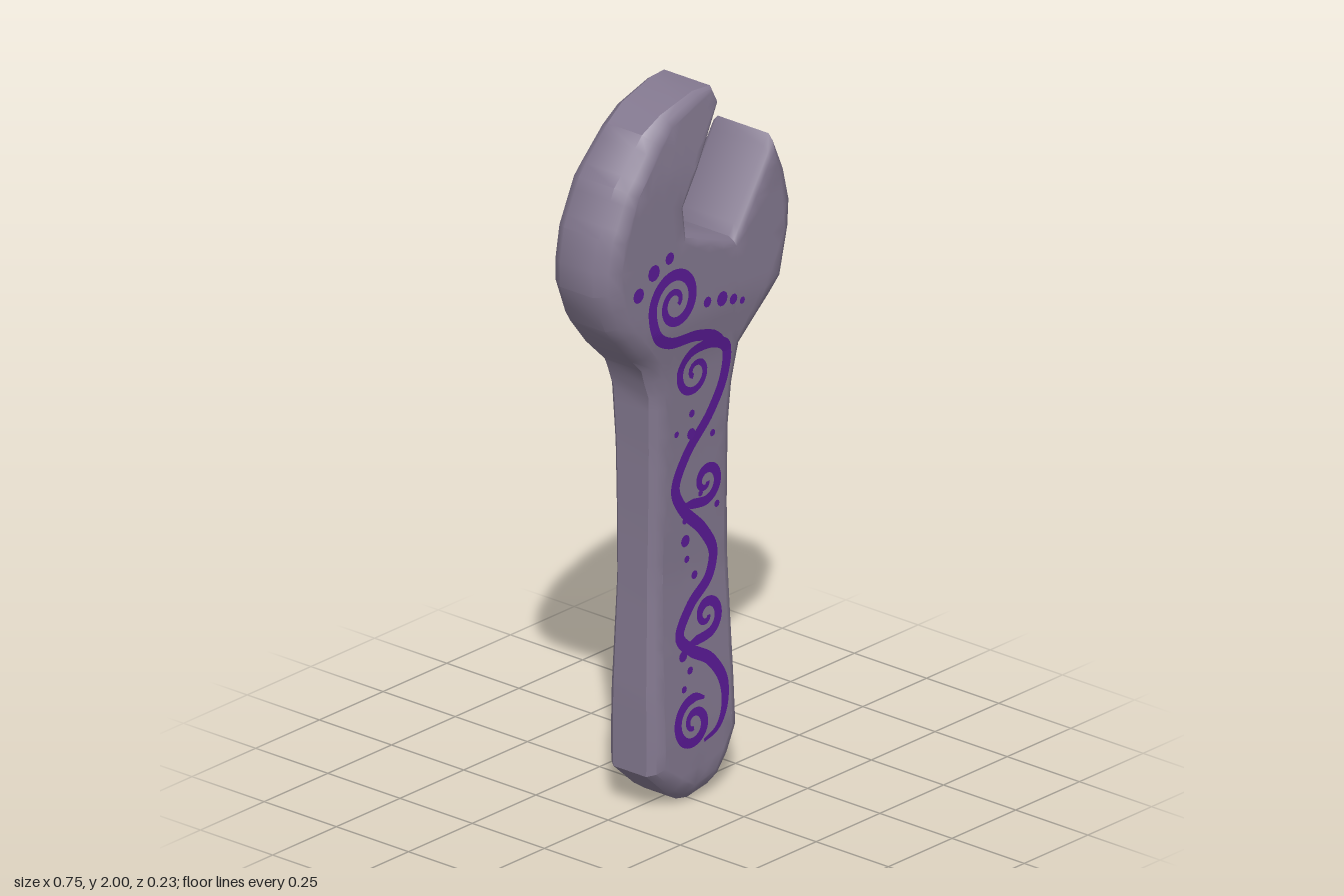
import * as THREE from 'three';
import { toCreasedNormals } from 'three/addons/utils/BufferGeometryUtils.js';

const LIMIT = 0.06;

// Outline, counter-clockwise: x, y, bevel width
const OUTLINE = [
  [0, 0, .04], [.06, .012, .04], [.1, .035, .04], [.14, .085, .04], [.175, .16, .04], [.17, .3, .037],
  [.16, .55, .035], [.153, .8, .035], [.152, 1.02, .035], [.16, 1.13, .035], [.185, 1.23, .04],
  [.25, 1.295, .045], [.335, 1.375, .05], [.368, 1.51, .05], [.373, 1.59, .05], [.345, 1.69, .045],
  [.28, 1.795, .022], [.123, 1.555, .022], [-.055, 1.62, .022], [-.065, 1.7, .022], [.083, 1.95, .015],
  [.06, 1.998, .015], [0, 2, .025], [-.12, 1.968, .035], [-.185, 1.93, .045], [-.295, 1.815, .05],
  [-.355, 1.69, .05], [-.375, 1.6, .055], [-.375, 1.53, .055], [-.33, 1.42, .05], [-.265, 1.34, .045],
  [-.19, 1.265, .04], [-.16, 1.18, .035], [-.153, 1.02, .035], [-.152, .8, .035], [-.155, .6, .035],
  [-.165, .33, .037], [-.165, .11, .04], [-.085, .037, .04], [-.045, .01, .04],
];

// Half thickness along the tool: y, z
const THICKNESS = [[0, .065], [.06, .088], [.2, .09], [.65, .073], [1, .08], [1.24, .09], [1.38, .11], [1.8, .11], [2, .09]];
function halfThickness(y) {
  for (let i = 1; i < THICKNESS.length; i++) {
    const [y0, z0] = THICKNESS[i - 1], [y1, z1] = THICKNESS[i];
    if (y <= y1) return z0 + (z1 - z0) * Math.max(0, (y - y0) / (y1 - y0));
  }
  return THICKNESS.at(-1)[1];
}

function geometryFrom(pos) {
  const g = new THREE.BufferGeometry();
  g.setAttribute('position', new THREE.Float32BufferAttribute(pos, 3));
  return g;
}

function bodyGeometry() {
  const n = OUTLINE.length, pos = [];
  const push = (...pts) => pts.forEach((p) => pos.push(...p));

  // Corners with inward mitre directions
  const corners = OUTLINE.map(([x, y, b], i) => {
    const p = OUTLINE[(i + n - 1) % n], q = OUTLINE[(i + 1) % n];
    const n1 = new THREE.Vector2(p[1] - y, x - p[0]).normalize();
    const n2 = new THREE.Vector2(y - q[1], q[0] - x).normalize();
    const m = n1.clone().add(n2).divideScalar(1 + n1.dot(n2));
    // n1 and n2 both point to the left of travel, which is inside
    return { x, y, b, mx: m.x * b, my: m.y * b };
  });
  const inset = corners.map((c) => new THREE.Vector2(c.x + c.mx, c.y + c.my));

  // Split long edges by halving, so rims and faces share vertices
  const rim = [];
  corners.forEach((c, i) => {
    const d = corners[(i + 1) % n];
    const len = inset[i].distanceTo(inset[(i + 1) % n]);
    const count = 2 ** Math.max(0, Math.ceil(Math.log2(len / LIMIT)));
    for (let k = 0; k < count; k++) {
      const s = {};
      for (const key in c) s[key] = c[key] + (d[key] - c[key]) * k / count;
      rim.push(s);
    }
  });

  // Bevelled rim, from the back face round to the front face
  const steps = [[1, 0, -1], [.4, .35, -1], [0, 1, -1], [0, 1, 1], [.4, .35, 1], [1, 0, 1]];
  const rings = steps.map(([t, drop, side]) => rim.map((s) => {
    const x = s.x + s.mx * t, y = s.y + s.my * t;
    return [x, y, side * halfThickness(s.y + s.my) * (1 - 9 * s.b * drop)];
  }));
  for (let r = 0; r + 1 < rings.length; r++) {
    const a = rings[r], b = rings[r + 1];
    for (let i = 0; i < rim.length; i++) {
      const j = (i + 1) % rim.length;
      push(a[i], a[j], b[j], a[i], b[j], b[i]);
    }
  }

  // Front and back faces, halved until they follow the thickness
  const face = (a, b, c) => {
    const ab = a.distanceTo(b), bc = b.distanceTo(c), ca = c.distanceTo(a);
    const longest = Math.max(ab, bc, ca);
    if (longest > LIMIT) {
      if (longest === bc) [a, b, c] = [b, c, a];
      else if (longest === ca) [a, b, c] = [c, a, b];
      const m = a.clone().add(b).multiplyScalar(.5);
      face(a, m, c);
      face(m, b, c);
      return;
    }
    const at = (p, side) => [p.x, p.y, side * halfThickness(p.y)];
    push(at(a, 1), at(b, 1), at(c, 1), at(a, -1), at(c, -1), at(b, -1));
  };
  for (const [i, j, k] of THREE.ShapeUtils.triangulateShape(inset, [])) {
    const a = inset[i], b = inset[j], c = inset[k];
    const area = (b.x - a.x) * (c.y - a.y) - (b.y - a.y) * (c.x - a.x);
    if (area >= 0) face(a, b, c);
    else face(a, c, b);
  }
  return toCreasedNormals(geometryFrom(pos), .6);
}

// Spiral points from the centre out, ending at the given angle; dir 1 is counter-clockwise
function spiral(cx, cy, r, endAngle, dir, turns = 1.6) {
  const pts = [], count = 20;
  for (let i = 0; i <= count; i++) {
    const t = i / count, a = endAngle - dir * (1 - t) * turns * Math.PI * 2;
    const rr = r * (.15 + .85 * t);
    pts.push([cx + Math.cos(a) * rr, cy + Math.sin(a) * rr]);
  }
  return pts;
}

const onFace = (x, y, side) => [x, y, side * (halfThickness(y) + .005)];

// Flat band that follows a path, thin at both ends
function bandGeometry(points, halfWidth, side) {
  const curve = new THREE.CatmullRomCurve3(points.map(([x, y]) => new THREE.Vector3(x, y, 0)));
  const count = points.length * 5, pos = [];
  let last;
  for (let i = 0; i <= count; i++) {
    const t = i / count, p = curve.getPointAt(t), d = curve.getTangentAt(t);
    const w = halfWidth * Math.min(1, .45 + t * 2, .3 + (1 - t) * 7);
    const l = onFace(p.x - d.y * w, p.y + d.x * w, side), r = onFace(p.x + d.y * w, p.y - d.x * w, side);
    if (last) {
      const [pl, pr] = last;
      const tris = side > 0 ? [pr, r, l, pr, l, pl] : [pr, l, r, pr, pl, l];
      pos.push(...tris.flat());
    }
    last = [l, r];
  }
  const g = geometryFrom(pos);
  g.computeVertexNormals();
  return g;
}

const BANDS = [
  [[...spiral(-.115, 1.45, .09, Math.PI, 1), [-.185, 1.375], [-.13, 1.338], [-.02, 1.325], [.06, 1.295], [.115, 1.245]], .016],
  [[...spiral(-.015, 1.215, .07, Math.PI / 2, -1, 1.4), [.06, 1.28], [.105, 1.25], [.1, 1.17], [.05, 1.08], [-.04, .985],
    [-.08, .9], [-.045, .83], [.03, .755], [.073, .68], [.055, .615], [-.02, .555], [-.065, .48], [-.02, .43],
    [.05, .385], [.1, .31], [.1, .235], [.07, .185], [.02, .165]], .017],
  [[...spiral(.04, .888, .055, -Math.PI / 2, -1, 1.2), [-.045, .845]], .014],
  [[...spiral(.042, .51, .055, -Math.PI / 2, -1, 1.2), [-.03, .45]], .014],
  [spiral(-.02, .225, .075, Math.PI * .3, -1, 1.6), .014],
];

// Dots: x, y, radius
const DOTS = [
  [-.26, 1.515, .021], [-.2, 1.56, .023], [-.138, 1.582, .017], [.01, 1.412, .015], [.068, 1.403, .021], [.112, 1.388, .015],
  [.148, 1.373, .01], [-.022, 1.1, .011], [-.022, 1.042, .016], [-.08, 1.058, .009], [.063, 1.018, .01], [.085, .81, .01],
  [-.04, .8, .01], [-.037, .742, .017], [-.03, .688, .01], [0, .635, .012], [.02, .86, .009], [-.053, .423, .016],
  [-.028, .376, .011], [-.053, .33, .01],
];

export function createModel() {
  const steel = new THREE.MeshStandardMaterial({ color: 0x83788f });
  steel.name = 'mauveSteel';
  const purple = new THREE.MeshStandardMaterial({ color: 0x5a1a96 });
  purple.name = 'purplePaint';

  const group = new THREE.Group();
  group.name = 'wrench';
  const add = (parent, geometry, material, name) => {
    const mesh = new THREE.Mesh(geometry, material);
    mesh.name = name;
    parent.add(mesh);
    return mesh;
  };
  add(group, bodyGeometry(), steel, 'wrenchBody');

  // Same scrollwork on both faces
  for (const side of [1, -1]) {
    const scrolls = new THREE.Group();
    scrolls.name = side > 0 ? 'frontScrollwork' : 'backScrollwork';
    group.add(scrolls);
    BANDS.forEach(([points, w], i) => add(scrolls, bandGeometry(points, w, side), purple, `scroll${i + 1}`));
    DOTS.forEach(([x, y, r], i) => {
      const dot = add(scrolls, new THREE.CircleGeometry(r, 10), purple, `dot${i + 1}`);
      dot.position.set(...onFace(x, y, side));
      if (side < 0) dot.rotation.y = Math.PI;
    });
  }
  return group;
}
